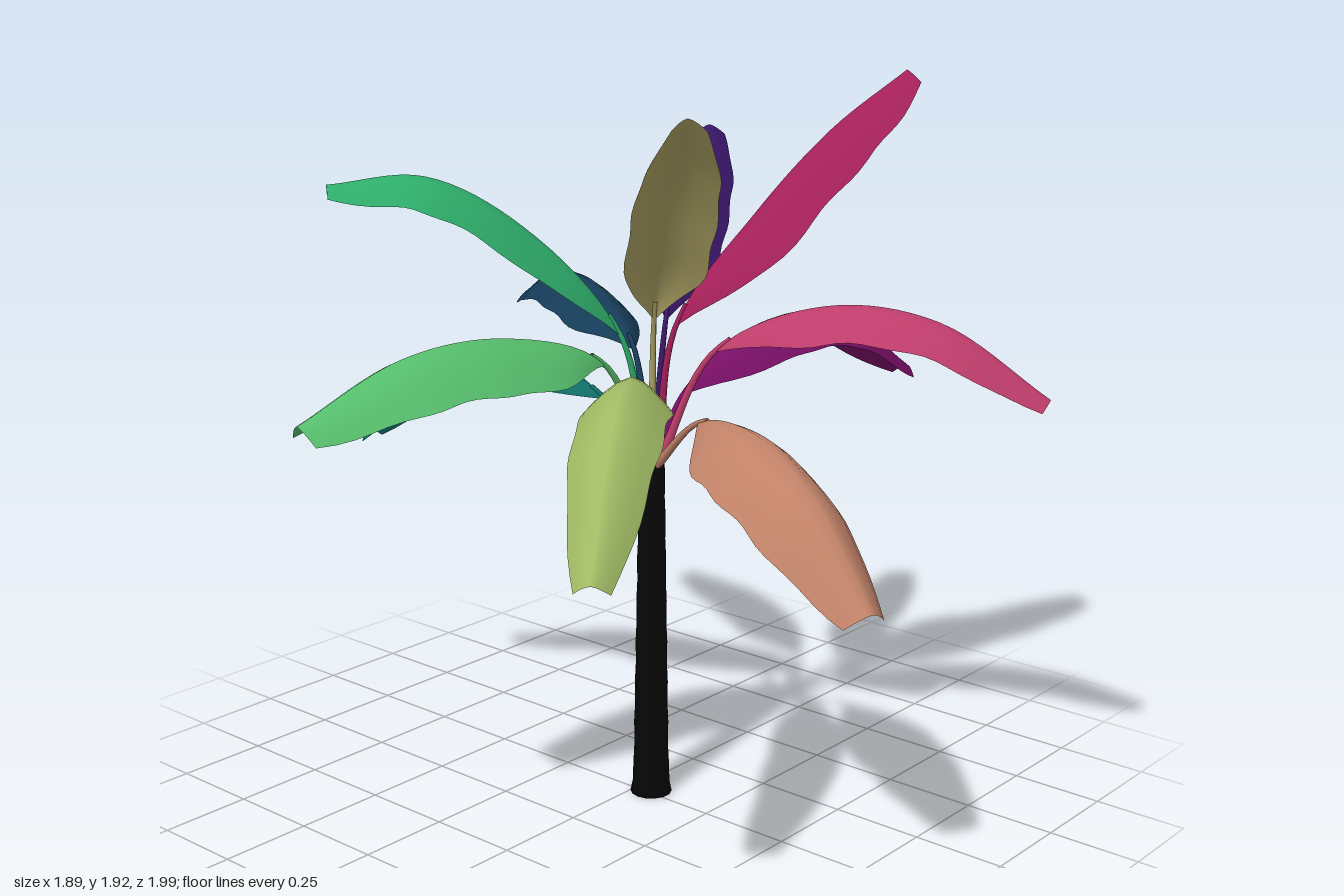
import * as THREE from 'three';

const CX = 0.044, CZ = -0.016; // trunk axis

// name, colour, half width, arch height, blade root, blade tip
const LEAVES = [
  ['tealLeaf', 0x0f6f68, 0.109, 0.2, [-0.12, 1.08, -0.01], [-0.95, 0.87, 0.09]],
  ['blueLeaf', 0x163c58, 0.105, 0.125, [-0.1, 1.2, -0.11], [-0.87, 1.2, -0.51]],
  ['violetLeaf', 0x3a1669, 0.098, 0.045, [0.02, 1.3, -0.1], [-0.22, 1.74, -0.57]],
  ['purpleLeaf', 0x780f66, 0.105, 0.19, [0.06, 1.1, -0.13], [0.18, 1.04, -1]],
  ['crimsonLeaf', 0xa5205a, 0.115, 0.07, [0.09, 1.3, -0.06], [0.42, 1.925, -0.58]],
  ['pinkLeaf', 0xbe3d6a, 0.1, 0.175, [0.17, 1.23, -0.12], [0.93, 1.15, -0.5]],
  ['salmonLeaf', 0xc08268, 0.142, 0.135, [0.24, 1.08, 0.03], [0.94, 0.8, 0.27]],
  ['limeLeaf', 0xa0bb64, 0.104, 0.2, [0.14, 1.15, 0.13], [0.64, 0.96, 0.88]],
  ['khakiLeaf', 0xaea465, 0.102, 0.06, [0.09, 1.33, 0.03], [0.5, 1.885, 0.4]],
  ['greenLeaf', 0x56bd6c, 0.138, 0.125, [0.025, 1.22, 0.15], [-0.16, 1.19, 0.99]],
  ['emeraldLeaf', 0x2fad6b, 0.1, 0.165, [0, 1.28, 0.06], [-0.46, 1.675, 0.62]],
];

// relative blade width: quick swell at the root, staying full to a blunt tip
function widthAt(u) {
  const root = 0.06 + 0.94 * Math.sin(Math.min(u / 0.32, 1) * Math.PI / 2);
  const tip = 1 - 0.6 * Math.max((u - 0.4) / 0.6, 0) ** 3;
  return root * tip;
}

// blade: arched cross-sections swept along the midrib, edges drooping
function bladeGeometry(curve, halfWidth, seed) {
  const ROWS = 24, COLS = 8, pos = [], index = [];
  const first = curve.getPoint(0.25), last = curve.getPoint(1);
  const side = new THREE.Vector3(last.z - first.z, 0, first.x - last.x).normalize();
  for (let r = 0; r <= ROWS; r++) {
    const u = r / ROWS, t = 0.25 + 0.75 * u;
    const p = curve.getPoint(t);
    const up = new THREE.Vector3().crossVectors(curve.getTangent(t), side).normalize();
    for (let c = 0; c <= COLS; c++) {
      const s = (c / COLS) * 2 - 1;
      const wave = 1 + 0.03 * Math.sin(u * 24 + seed * 1.7 + Math.sign(s));
      const w = halfWidth * widthAt(u) * wave;
      const v = p.clone().addScaledVector(side, s * w).addScaledVector(up, -0.8 * w * Math.abs(s) ** 1.5);
      pos.push(v.x, v.y, v.z);
      if (r < ROWS && c < COLS) {
        const a = r * (COLS + 1) + c, b = a + COLS + 1;
        index.push(a, a + 1, b, a + 1, b + 1, b);
      }
    }
  }
  const g = new THREE.BufferGeometry();
  g.setAttribute('position', new THREE.Float32BufferAttribute(pos, 3));
  g.setIndex(index);
  g.computeVertexNormals();
  return g;
}

// stem: tube over the first quarter of the curve, tapering toward the blade
function stemGeometry(curve) {
  const N = 12, SIDES = 6;
  const path = new THREE.CatmullRomCurve3(
    Array.from({ length: 7 }, (_, i) => curve.getPoint((i / 6) * 0.29)));
  const g = new THREE.TubeGeometry(path, N, 1, SIDES);
  const pos = g.attributes.position, v = new THREE.Vector3();
  for (let i = 0; i < pos.count; i++) {
    const u = Math.floor(i / (SIDES + 1)) / N;
    const c = path.getPointAt(u);
    v.fromBufferAttribute(pos, i).sub(c).multiplyScalar(0.013 - 0.007 * u).add(c);
    pos.setXYZ(i, v.x, v.y, v.z);
  }
  return g;
}

function makeLeaf([name, color, halfWidth, arch, rootPoint, tipPoint], seed) {
  const leaf = new THREE.Group();
  leaf.name = name;
  const root = new THREE.Vector3(...rootPoint), tip = new THREE.Vector3(...tipPoint);
  const out = new THREE.Vector3(tip.x - CX, 0, tip.z - CZ).normalize();
  const base = new THREE.Vector3(CX, 0.92, CZ).addScaledVector(out, 0.015);
  // midrib: a parabola raised above the line from root to tip
  const rib = [0, 1, 2, 3].map((i) => {
    const u = i / 3, p = root.clone().lerp(tip, u);
    p.y += 4 * arch * u * (1 - u);
    return p;
  });
  const curve = new THREE.CatmullRomCurve3([base, ...rib]);
  const material = new THREE.MeshStandardMaterial({ color, side: THREE.DoubleSide });
  const blade = new THREE.Mesh(bladeGeometry(curve, halfWidth, seed), material);
  blade.name = 'blade';
  const stem = new THREE.Mesh(stemGeometry(curve), material);
  stem.name = 'stem';
  leaf.add(blade, stem);
  return leaf;
}

// trunk: tapered, with faint growth rings and a flared foot
function makeTrunk() {
  const profile = [new THREE.Vector2(0, 0), new THREE.Vector2(0.056, 0), new THREE.Vector2(0.05, 0.03)];
  const RINGS = 16;
  for (let i = 1; i <= RINGS; i++) {
    const u = i / RINGS;
    profile.push(new THREE.Vector2(0.048 - 0.015 * u + (i % 2 ? 0.001 : -0.001), 0.03 + 0.92 * u));
  }
  profile.push(new THREE.Vector2(0.018, 0.985), new THREE.Vector2(0, 0.99));
  const trunk = new THREE.Mesh(
    new THREE.LatheGeometry(profile, 14),
    new THREE.MeshStandardMaterial({ color: 0x070707 }));
  trunk.name = 'trunk';
  trunk.position.set(CX, 0, CZ);
  return trunk;
}

export function createModel() {
  const model = new THREE.Group();
  model.name = 'palmTree';
  model.add(makeTrunk());
  LEAVES.forEach((spec, i) => model.add(makeLeaf(spec, i)));
  return model;
}
